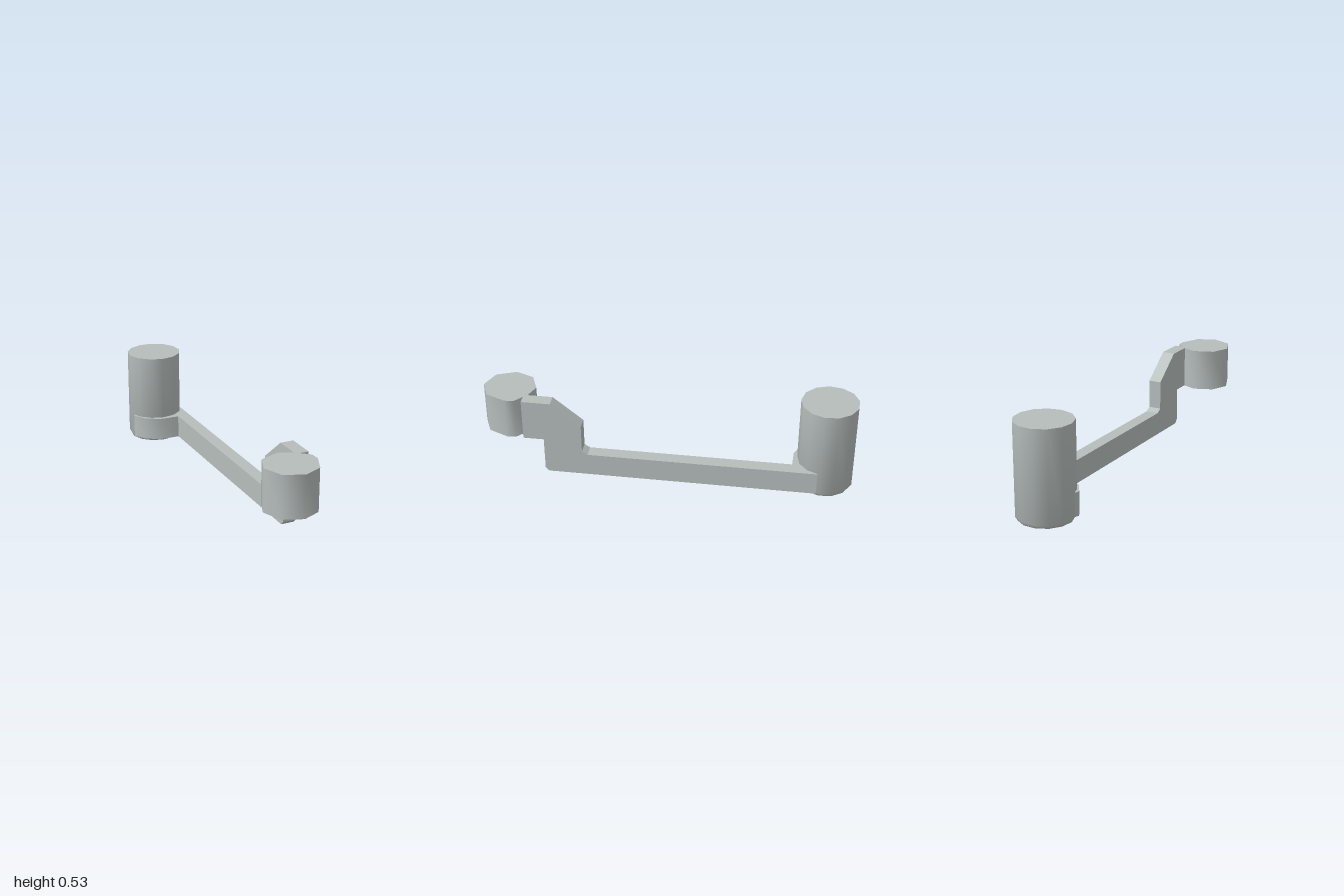
import * as THREE from 'three';
import { toCreasedNormals } from 'three/addons/utils/BufferGeometryUtils.js';

const metal = new THREE.MeshStandardMaterial({ color: 0xb5bdbb });
metal.name = 'greyMetal';

const shapeOf = pts => new THREE.Shape(pts.map(p => new THREE.Vector2(p[0], p[1])));

function part(name, geometry, crease) {
  const mesh = new THREE.Mesh(toCreasedNormals(geometry, crease), metal);
  mesh.name = name;
  return mesh;
}

// Upright prism from a plan outline given as [x, z]
function prism(name, plan, y0, y1) {
  const geo = new THREE.ExtrudeGeometry(shapeOf(plan.map(([x, z]) => [x, -z])),
    { depth: y1 - y0, bevelEnabled: false });
  geo.rotateX(-Math.PI / 2).translate(0, y0, 0);
  return part(name, geo, 0.9);
}

export function createModel() {
  const model = new THREE.Group();
  model.name = 'crankHandle';

  // Stepped arm: side profile [along, up], extruded across its thickness
  const thickness = 0.072;
  const profile = [
    [-0.8, 0.035], [0.667, 0.035], [0.687, 0.055], [0.687, 0.243], [0.8, 0.243],
    [0.8, 0.475], [0.641, 0.475], [0.478, 0.343], [0.478, 0.183], [0.447, 0.164], [-0.8, 0.164],
  ];
  const armGeo = new THREE.ExtrudeGeometry(shapeOf(profile), { depth: thickness, bevelEnabled: false });
  armGeo.rotateY(-Math.PI / 2).translate(thickness / 2, 0, 0);
  const arm = part('arm', armGeo, 0.3);
  arm.position.x = 0.111;
  arm.rotation.y = -0.207;
  model.add(arm);

  // Faceted hub on the raised end
  model.add(prism('hub', [
    [-0.325, 0.82], [-0.265, 0.73], [-0.155, 0.71], [-0.085, 0.755], [-0.03, 0.83],
    [-0.037, 0.88], [-0.105, 0.975], [-0.21, 0.997], [-0.305, 0.935],
  ], 0.243, 0.475));

  // Collar between the arm and the grip
  model.add(prism('collar', [
    [0.005, -0.82], [0.033, -0.74], [0.105, -0.68], [0.21, -0.655],
    [0.26, -0.72], [0.2, -0.85], [0.03, -0.86],
  ], 0.035, 0.164));

  // Grip with a rounded underside
  const gripProfile = [[0, 0], [0.085, 0.002], [0.143, 0.016], [0.155, 0.036], [0.155, 0.53], [0, 0.53]];
  const grip = part('grip', new THREE.LatheGeometry(
    gripProfile.map(p => new THREE.Vector2(p[0], p[1])), 13, Math.PI), 0.8);
  grip.position.set(0.17, 0, -0.845);
  model.add(grip);

  return model;
}
